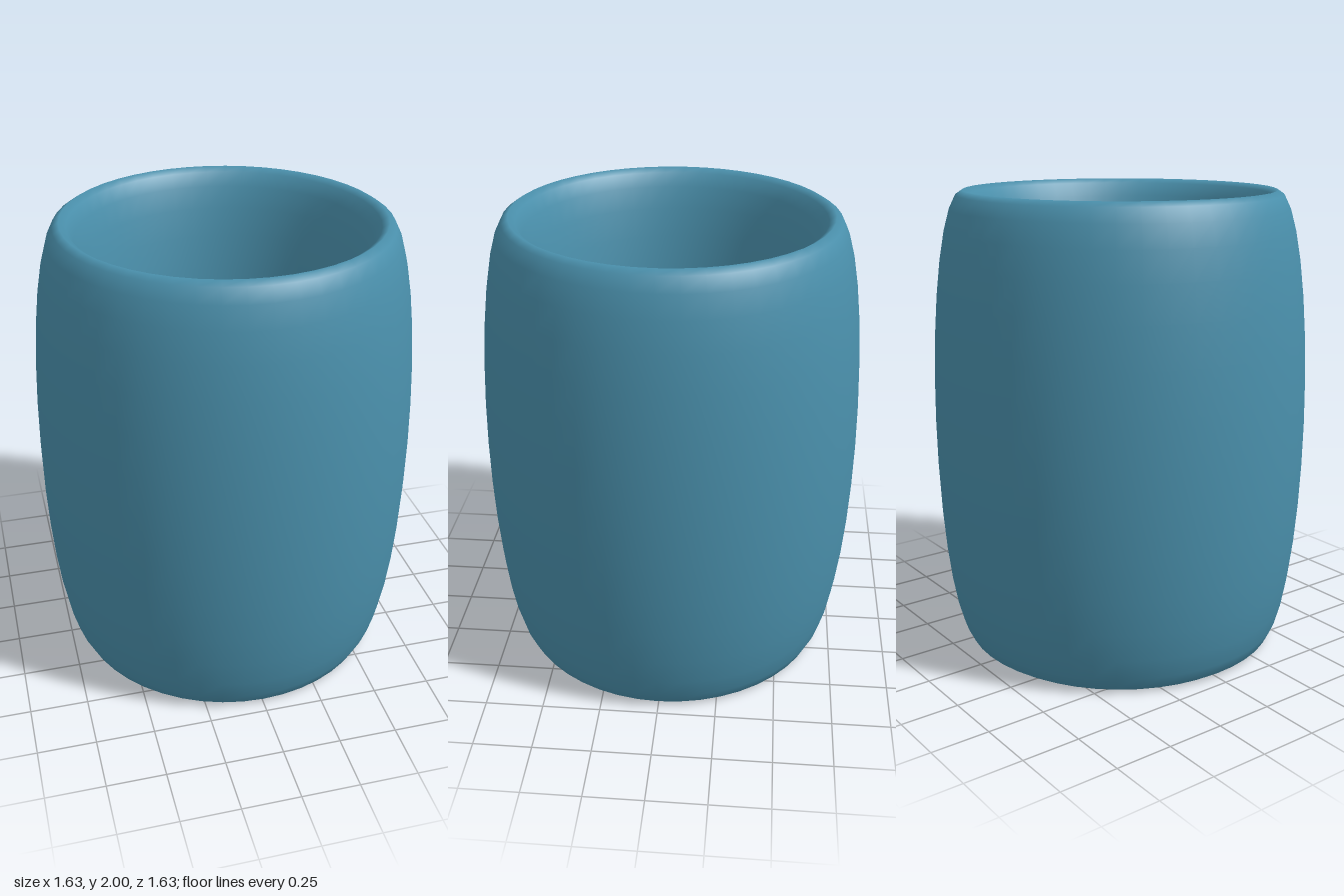
import * as THREE from 'three';

export function createModel() {
  const group = new THREE.Group();
  const material = new THREE.MeshStandardMaterial({ color: 0x4a90ac });

  const ringRadius = 0.667;
  const wallHalf = 0.148;

  // Barrel wall: a ring stretched upward, so its section is a tall ellipse
  const wallGeometry = new THREE.TorusGeometry(ringRadius, wallHalf, 32, 48);
  wallGeometry.rotateX(Math.PI / 2);
  wallGeometry.scale(1, 1 / wallHalf, 1);
  wallGeometry.translate(0, 1, 0);
  const wall = new THREE.Mesh(wallGeometry, material);
  wall.name = 'barrelWall';
  group.add(wall);

  // Thin floor closing the bottom, just above the lower rim
  const floorHeight = 0.06;
  const floor = new THREE.Mesh(new THREE.CylinderGeometry(0.655, 0.655, floorHeight, 48), material);
  floor.name = 'floor';
  floor.position.y = 0.01 + floorHeight / 2;
  group.add(floor);

  return group;
}
